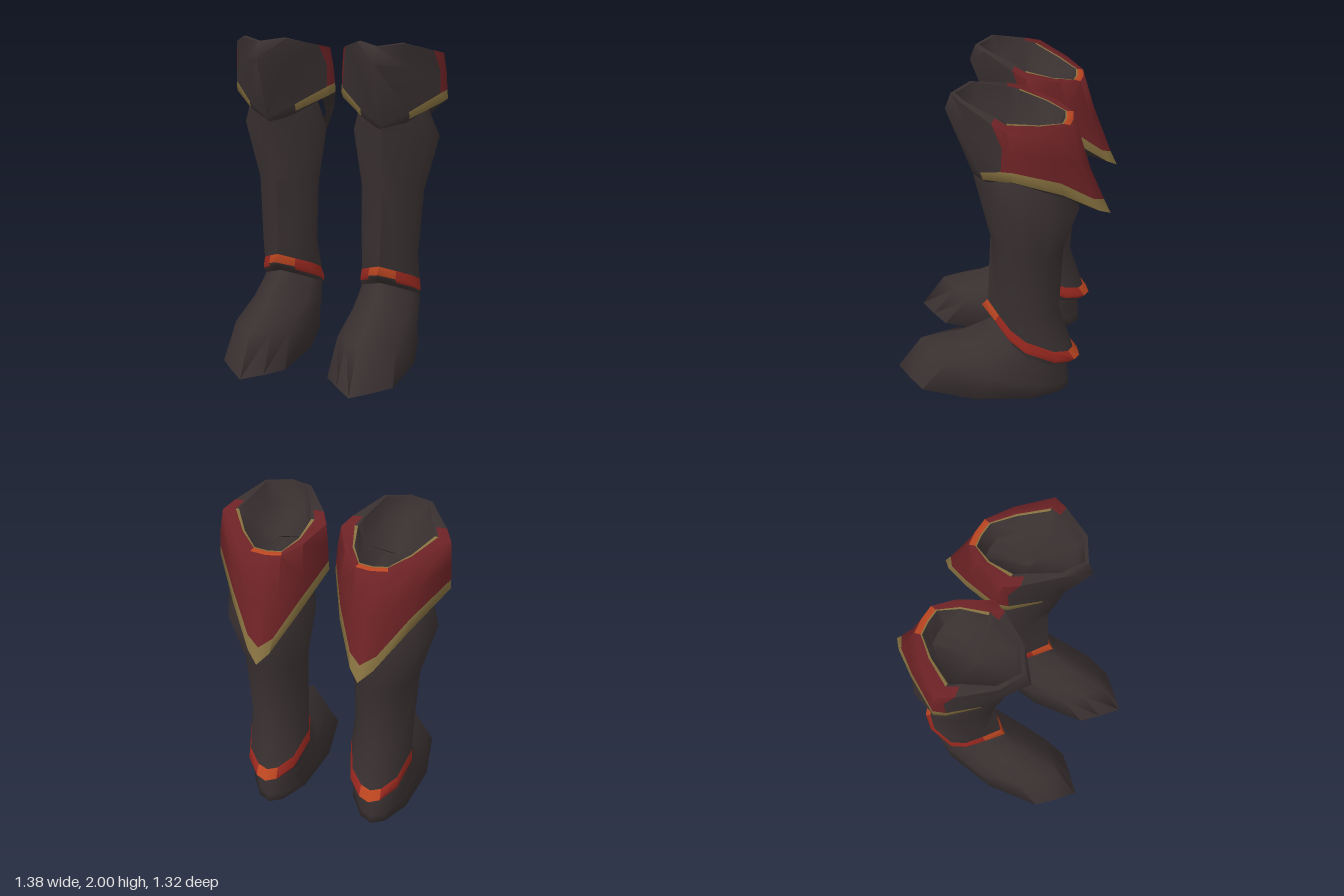
import * as THREE from 'three';
import { toCreasedNormals } from 'three/addons/utils/BufferGeometryUtils.js';

const colours = {
  darkLeather: 0x393030, redCloth: 0x6c2225, goldTrim: 0x85703f,
  strapRed: 0x98281f, strapOrange: 0xba4520,
};
const DARK = 0, RED = 1, GOLD = 2, STRAP = 3, ORANGE = 4;

function makeMaterials() {
  return Object.entries(colours).map(([name, color]) => {
    const m = new THREE.MeshStandardMaterial({ color });
    m.name = name;
    return m;
  });
}

// Skins closed rings of [x, y, z]; paint(row, segment) picks a material,
// where segments count from the front (0) round to the back on both sides.
function loft(name, rings, side, materials, paint = () => DARK, crease = 1.3) {
  const n = rings[0].length, pos = [], buckets = materials.map(() => []);
  rings.forEach(r => r.forEach(([x, y, z]) => pos.push(x * side, y, z)));
  for (let i = 0; i < rings.length - 1; i++) {
    for (let j = 0; j < n; j++) {
      const a = i * n + j, b = i * n + (j + 1) % n, c = a + n, d = b + n;
      const tri = side > 0 ? [a, c, d, a, d, b] : [a, d, c, a, b, d];
      buckets[paint(i, Math.min(j, n - 1 - j))].push(...tri);
    }
  }
  const geo = new THREE.BufferGeometry();
  geo.setAttribute('position', new THREE.Float32BufferAttribute(pos, 3));
  geo.setIndex(buckets.flat());
  let start = 0;
  buckets.forEach((b, m) => {
    if (b.length) geo.addGroup(start, b.length, m);
    start += b.length;
  });
  const mesh = new THREE.Mesh(toCreasedNormals(geo, crease), materials);
  mesh.name = name;
  return mesh;
}

// Half of a leg section: [half width, way from front to back]
const section = [[0, 0], [0.45, 0.16], [0.85, 0.32], [1, 0.5], [0.74, 0.81], [0.33, 0.96], [0, 1]];

// Tilted leg ring from its inner and outer x, and its front and back y, z;
// k pulls the front corners towards the toe
function legRing([x0, x1, yf, zf, yb, zb, k = 1]) {
  const cx = (x0 + x1) / 2, hx = (x1 - x0) / 2;
  const at = ([w, t], s) => {
    const u = t < 0.5 ? t * k : t;
    return [cx + s * w * hx, yf + (yb - yf) * u, zf + (zb - zf) * u];
  };
  return [...section.map(p => at(p, 1)), ...section.slice(1, -1).reverse().map(p => at(p, -1))];
}

const hemTop = [0.145, 0.535, 0.605, 0.065, 0.30, -0.475];
const ankle = [0.14, 0.535, 0.48, 0.02, 0.2, -0.44];

const shaftRings = [
  [0.14, 0.58, 1.62, 0.13, 1.52, -0.41],
  [0.09, 0.642, 1.48, 0.13, 1.33, -0.48],
  [0.145, 0.553, 1.08, 0.04, 1.03, -0.395],
  [0.155, 0.53, 0.68, 0.058, 0.58, -0.38],
  hemTop,
].map(legRing);

const strapRings = [
  hemTop,
  [0.139, 0.54, 0.56, 0.1, 0.24, -0.52],
  [0.138, 0.541, 0.53, 0.075, 0.215, -0.485],
  ankle,
].map(legRing);

const footRings = [
  ankle,
  [0.135, 0.545, 0.43, 0.1, 0.16, -0.445],
  [0.128, 0.555, 0.35, 0.23, 0.11, -0.45, 0.9],
  [0.12, 0.567, 0.25, 0.5, 0.05, -0.455, 0.65],
  [0.103, 0.59, 0, 0.66, 0, -0.46, 0.58],
  [0.345, 0.345, 0, 0, 0, 0],
].map(legRing);

// Cuff half rings of seven [half width, y, z] points, front to back
const cuffCentre = [0.36, 0.36, 0.355, 0.355, 0.32, 0.3, 0.295];
const rim = [[0, 1.985, 0.25], [0.14, 2, 0.17], [0.27, 1.945, -0.02], [0.312, 1.92, -0.11],
  [0.2, 1.88, -0.3], [0.09, 1.855, -0.41], [0, 1.85, -0.42]];
const widest = [[0, 1.89, 0.285], [0.15, 1.86, 0.13], [0.3, 1.82, -0.08], [0.327, 1.8, -0.13],
  [0.21, 1.72, -0.35], [0.085, 1.62, -0.485], [0, 1.6, -0.505]];
const trimTop = [[0, 1.51, 0.14], [0.15, 1.59, 0.065], [0.305, 1.685, -0.075], [0.333, 1.7, -0.14],
  [0.2, 1.565, -0.385], [0.075, 1.4, -0.56], [0, 1.36, -0.612]];
const lowerEdge = [[0, 1.49, 0.13], [0.15, 1.545, 0.05], [0.305, 1.625, -0.08], [0.337, 1.645, -0.14],
  [0.2, 1.49, -0.4], [0.065, 1.32, -0.595], [0, 1.27, -0.655]];
const underside = [[0, 1.47, 0.11], [0.13, 1.52, 0.03], [0.23, 1.585, -0.08], [0.24, 1.6, -0.15],
  [0.16, 1.46, -0.36], [0.06, 1.36, -0.44], [0, 1.34, -0.45]];

// The lip is the rim drawn in towards the middle, widest at the sides
const lipInset = [0.08, 0.1, 0.28, 0.3, 0.2, 0.12, 0.12];
function insetRim(scale, extra = 0, drop = 0) {
  return rim.map(([w, y, z], i) => {
    const f = 1 - lipInset[i] * scale - extra;
    return [w * f, y + 0.03 * lipInset[i] * scale - drop, -0.05 + (z + 0.05) * f];
  });
}

function cuffRing(points) {
  const at = (s) => points.map(([w, y, z], i) => [cuffCentre[i] + s * w, y, z]);
  return [...at(1), ...at(-1).slice(1, -1).reverse()];
}

// Inner floor, inner wall, lip and its thin trim, then down the outside
const cuffRings = [
  Array(7).fill([0, 1.76, -0.05]), insetRim(1, 0.12, 0.12), insetRim(1), insetRim(0.8),
  rim, widest, trimTop, lowerEdge, underside,
].map(cuffRing);

// Dark front and inside, red lip, sides and back, gold lower trim
function paintCuff(row, seg) {
  if (row === 2 && seg >= 3) return GOLD;
  if (row === 3 && seg === 5) return ORANGE;
  if (row >= 3 && row <= 5 && seg >= 2) return RED;
  if (row === 6 && seg >= 1) return GOLD;
  return DARK;
}

// Orange at the front and back points, red along the sides
function paintStrap(row, seg) {
  if (row === 2 || (row === 1 && (seg === 0 || seg === 5))) return DARK;
  return seg === 0 || seg === 5 ? ORANGE : STRAP;
}

export function createModel() {
  const model = new THREE.Group();
  model.name = 'bootPair';
  const materials = makeMaterials();
  for (const side of [1, -1]) {
    const boot = new THREE.Group();
    boot.name = side > 0 ? 'leftBoot' : 'rightBoot';
    boot.add(
      loft('cuff', cuffRings, side, materials, paintCuff),
      loft('shaft', shaftRings, side, materials),
      loft('ankleStrap', strapRings, side, materials, paintStrap),
      loft('foot', footRings, side, materials, undefined, 2),
    );
    model.add(boot);
  }
  return model;
}
